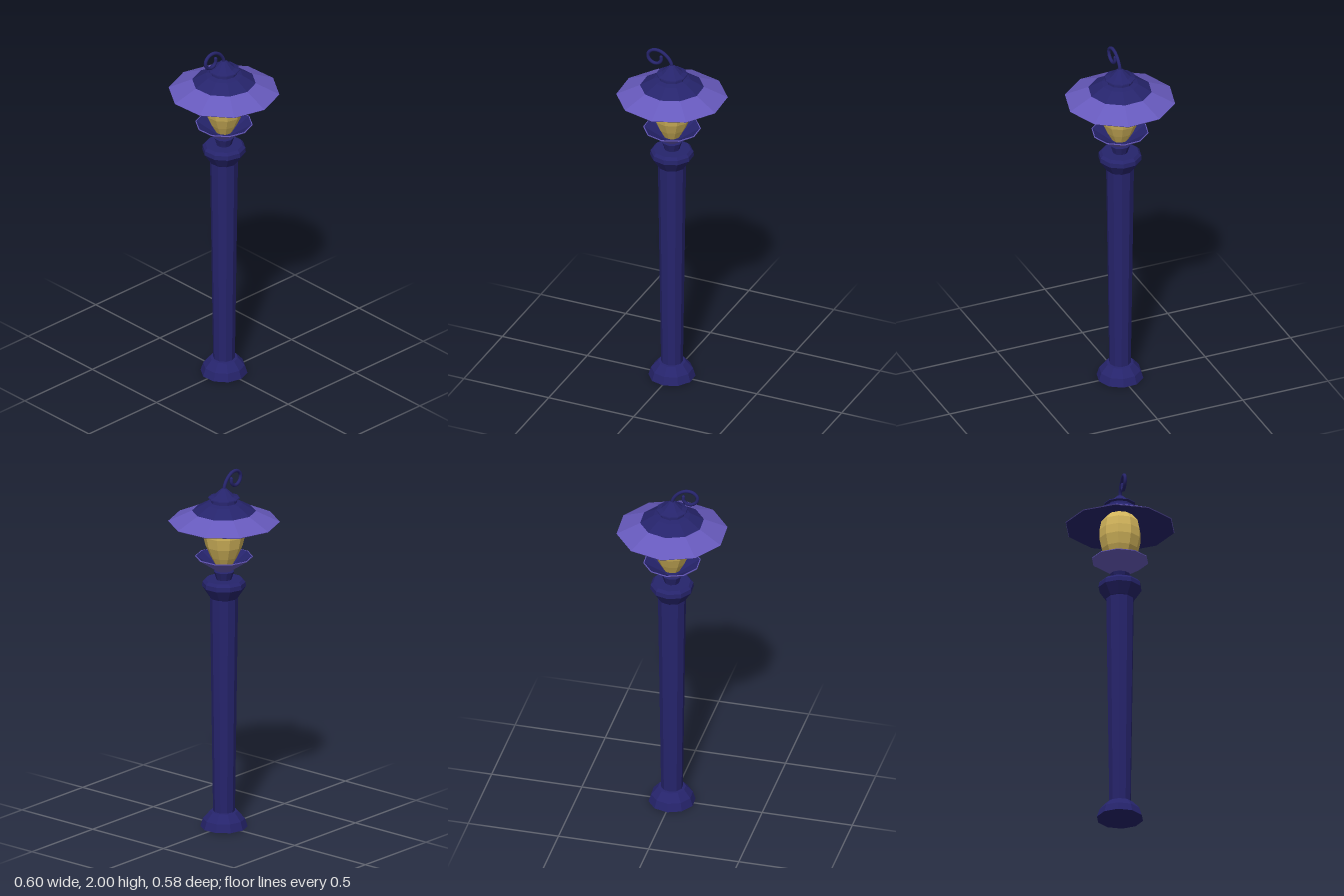
import * as THREE from 'three';

const SIDES = 10;
const START = THREE.MathUtils.degToRad(21);

export function createModel() {
  const group = new THREE.Group();
  const material = (name, color) => {
    const m = new THREE.MeshStandardMaterial({ color });
    m.name = name;
    return m;
  };
  const navy = material('navy metal', 0x26246c);
  const purple = material('purple enamel', 0x675abd);
  const amber = material('amber glass', 0xd4b65c);

  const add = (name, geometry, mat) => {
    const mesh = new THREE.Mesh(geometry, mat);
    mesh.name = name;
    group.add(mesh);
  };

  // Faceted ten-sided turning; profile of [radius, height], outside on the right
  const turned = (name, profile, mat) => {
    const points = profile.map(([r, y]) => new THREE.Vector2(r, y));
    const geometry = new THREE.LatheGeometry(points, SIDES, START).toNonIndexed();
    geometry.computeVertexNormals();
    add(name, geometry, mat);
  };

  // Post
  turned('base', [[0, 0], [0.127, 0], [0.113, 0.045], [0.075, 0.088], [0.05, 0.09]], navy);
  turned('shaft', [[0.059, 0.08], [0.076, 1.31]], navy);
  turned('collar', [[0.07, 1.29], [0.078, 1.3], [0.118, 1.36], [0.116, 1.385], [0.102, 1.4], [0, 1.4]], navy);
  turned('neck', [[0.04, 1.395], [0.044, 1.41], [0.055, 1.445], [0, 1.45]], navy);

  // Dish below the lamp
  turned('dishOutside', [[0.035, 1.445], [0.155, 1.526], [0.155, 1.53], [0.15, 1.53]], purple);
  turned('dishInside', [[0.15, 1.53], [0.035, 1.455], [0, 1.455]], navy);

  // Glass globe
  turned('globe', [[0, 1.47], [0.045, 1.48], [0.073, 1.53], [0.1, 1.59], [0.114, 1.65],
    [0.113, 1.7], [0.103, 1.75], [0.07, 1.79], [0, 1.808]], amber);

  // Roof: purple brim, dark crown and dark lining
  turned('roofBrim', [[0.297, 1.722], [0.3, 1.726], [0.172, 1.786]], purple);
  turned('roofCrown', [[0.172, 1.786], [0.1, 1.828], [0.06, 1.838]], navy);
  turned('roofLining', [[0, 1.82], [0.09, 1.815], [0.297, 1.722]], navy);

  // Finial cap
  turned('capNeck', [[0.072, 1.825], [0.068, 1.86]], navy);
  turned('cap', [[0.06, 1.852], [0.086, 1.858], [0.084, 1.863], [0.058, 1.872], [0.018, 1.908], [0, 1.916]], navy);

  // Curled hook, given as [height, forward]
  const path = [[1.895, 0], [1.928, 0.006], [1.965, 0.034], [1.987, 0.075], [1.983, 0.115], [1.958, 0.139],
    [1.927, 0.135], [1.907, 0.108], [1.91, 0.08], [1.928, 0.064], [1.95, 0.063]]
    .map(([y, z]) => new THREE.Vector3(0.025 * z, y, z));
  add('hook', new THREE.TubeGeometry(new THREE.CatmullRomCurve3(path), 48, 0.0095, 8), navy);
  const tip = new THREE.SphereGeometry(0.0095, 8, 6);
  tip.translate(...path[path.length - 1].toArray());
  add('hookTip', tip, navy);

  return group;
}
